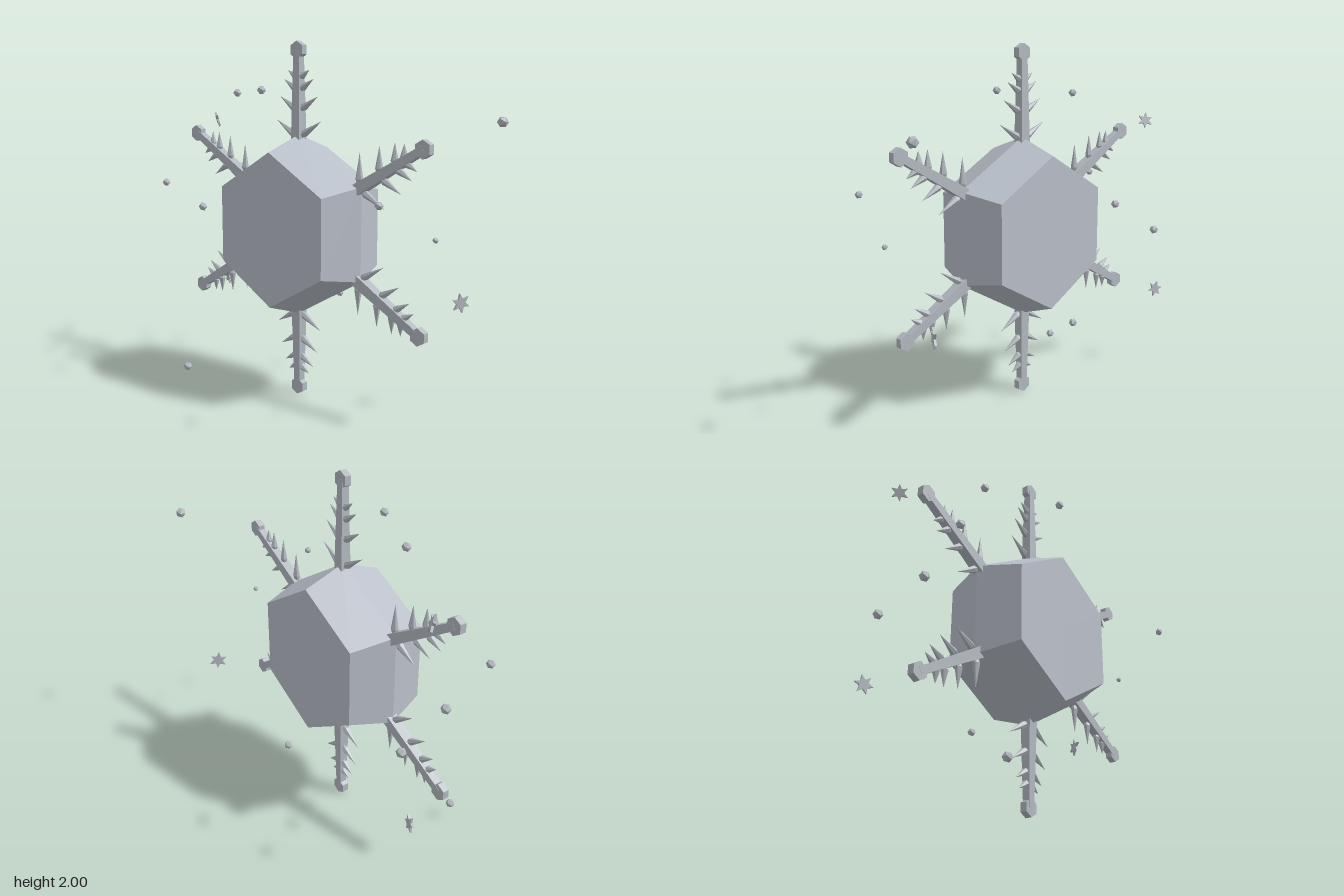
import * as THREE from 'three';

const ice = new THREE.MeshStandardMaterial({ color: 0xb9bfc9 });
ice.name = 'pale ice';
const frost = new THREE.MeshStandardMaterial({ color: 0xb3b9c0 });
frost.name = 'grey frost';

// Faceted copy of a geometry
function facet(geometry) {
  const g = geometry.index ? geometry.toNonIndexed() : geometry;
  g.computeVertexNormals();
  return g;
}

function part(name, geometry, material, x = 0, y = 0, z = 0) {
  const mesh = new THREE.Mesh(geometry, material);
  mesh.name = name;
  mesh.position.set(x, y, z);
  return mesh;
}

const profile = (pairs) => pairs.map(([r, y]) => new THREE.Vector2(r, y));

// Six-pointed flat star
function starGeometry(radius) {
  const points = [];
  for (let i = 0; i < 12; i++) {
    const r = i % 2 ? radius * 0.48 : radius;
    const a = (i * Math.PI) / 6;
    points.push(new THREE.Vector2(r * Math.sin(a), r * Math.cos(a)));
  }
  const g = new THREE.ExtrudeGeometry(new THREE.Shape(points), { depth: 0.012, bevelEnabled: false });
  return g.translate(0, 0, -0.006);
}

// Leaf-shaped crystal, unit length along +y
const spikeGeometry = facet(new THREE.LatheGeometry(
  profile([[0, -0.08], [0.023, 0.27], [0, 1]]), 6));

const capGeometry = facet(new THREE.CylinderGeometry(0.048, 0.048, 0.038, 6).rotateX(-Math.PI / 2));

// Tapered square arm along +y with paired spikes and a hexagonal tip
function createArm(reach) {
  const arm = new THREE.Group();
  arm.name = 'arm';
  const start = 0.455;
  const length = reach - start;
  const shaft = new THREE.CylinderGeometry(0.02 * Math.SQRT2, 0.031 * Math.SQRT2, length, 4).rotateY(Math.PI / 4);
  arm.add(part('shaft', facet(shaft), frost, 0, start + length / 2, 0));
  arm.add(part('hexagonTip', capGeometry, frost, 0, reach, 0));
  for (const [r, size] of [[0.49, 0.19], [0.635, 0.16], [0.745, 0.125], [0.81, 0.09]]) {
    for (const side of [-1, 1]) {
      const spike = part('spike', spikeGeometry, frost, 0, r, 0);
      spike.rotation.z = (side * Math.PI) / 3;
      spike.scale.set(0.9, size, 0.9);
      arm.add(spike);
    }
  }
  return arm;
}

export function createModel() {
  const model = new THREE.Group();
  model.name = 'snowCrystal';

  const flake = new THREE.Group();
  flake.name = 'flake';
  flake.position.set(-0.063, 0.99, 0.02);
  model.add(flake);

  // Bevelled hexagonal core
  const core = new THREE.LatheGeometry(
    profile([[0, -0.24], [0.425, -0.24], [0.508, 0], [0.425, 0.24], [0, 0.24]]), 6);
  flake.add(part('core', facet(core.rotateX(-Math.PI / 2)), ice));

  // Arms, counterclockwise from the top
  [0.962, 0.965, 0.943, 0.942, 0.941, 0.945].forEach((reach, i) => {
    const arm = createArm(reach);
    arm.rotation.z = (i * Math.PI) / 3;
    flake.add(arm);
  });

  // Floating ice beads: x, y, z, radius
  const beads = [
    [-0.505, 1.72, 0.058, 0.025], [-0.1, 1.74, 0.268, 0.025], [0.955, 1.585, -0.378, 0.03],
    [-0.908, 1.188, 0.274, 0.024], [0.76, 1.23, 0.387, 0.022], [0.843, 1.028, 0.036, 0.016],
    [-0.875, 1.013, 0.02, 0.028], [-0.89, 0.895, -0.276, 0.027], [-0.648, 0.113, 0.362, 0.026],
    [-0.08, 0.52, -0.367, 0.023],
  ];
  for (const [x, y, z, r] of beads) {
    model.add(part('iceBead', facet(new THREE.IcosahedronGeometry(r)), frost, x, y, z));
  }

  // Floating stars: x, y, z, radius, turn about x, y, z
  const stars = [
    [-0.92, 1.548, -0.158, 0.046, 0.35, -0.6, 0.3],
    [-0.952, 0.5, -0.255, 0.047, 0.1, -0.35, 0.4],
    [0.803, 0.637, -0.29, 0.054, 0, 1.1, 0.15],
  ];
  for (const [x, y, z, r, rx, ry, rz] of stars) {
    const star = part('smallStar', starGeometry(r), frost, x, y, z);
    star.rotation.set(rx, ry, rz);
    model.add(star);
  }

  return model;
}
